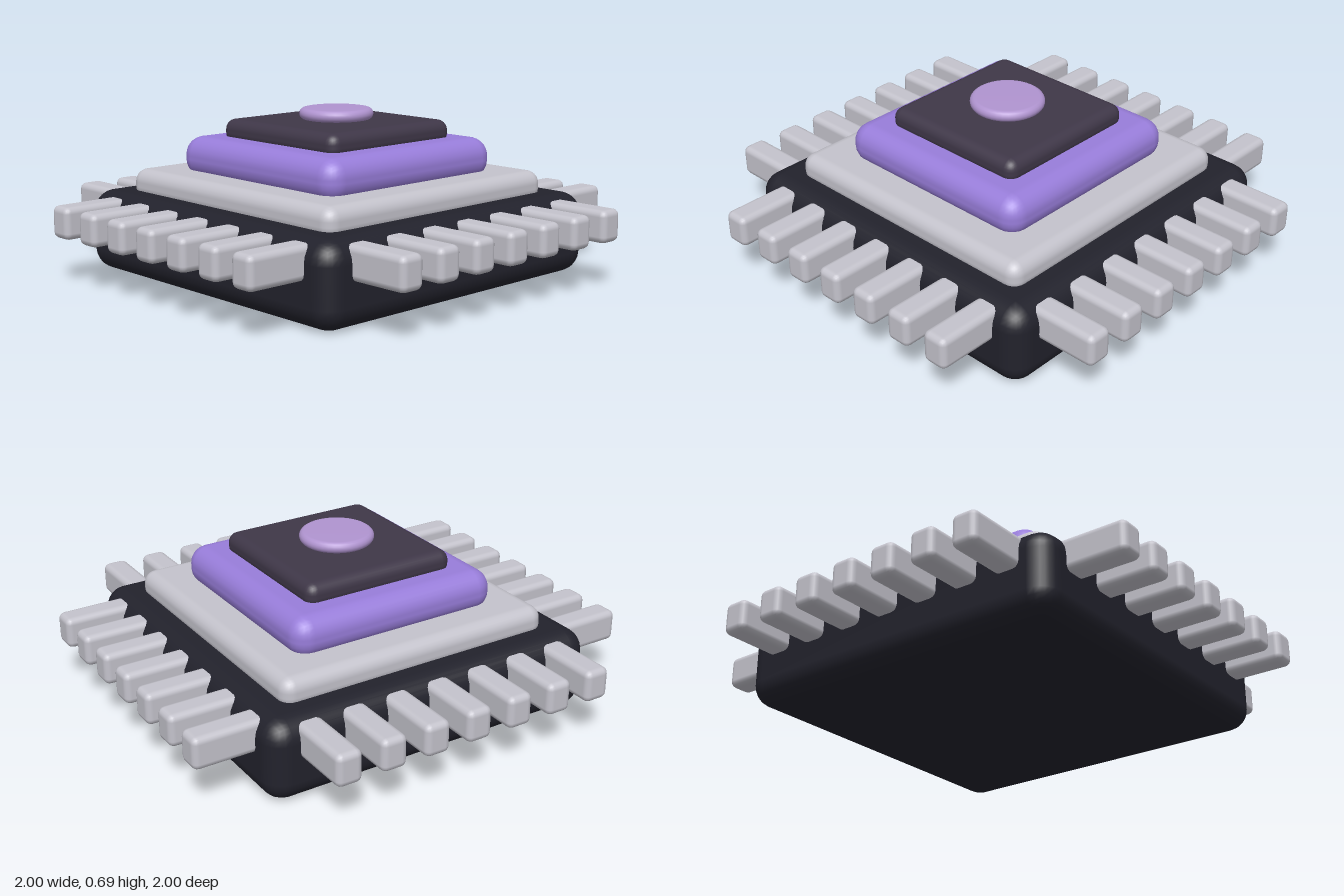
import * as THREE from 'three';
import { RoundedBoxGeometry } from 'three/addons/geometries/RoundedBoxGeometry.js';

function material(name, color) {
  const m = new THREE.MeshStandardMaterial({ color });
  m.name = name;
  return m;
}

export function createModel() {
  const model = new THREE.Group();
  model.name = 'microchip';

  const black = material('chip black', 0x22222c);
  const silver = material('silver', 0xc4c3cc);
  const purple = material('purple', 0x987dda);
  const charcoal = material('charcoal', 0x3f3748);
  const lilac = material('lilac', 0xb094d0);

  // Square rounded slab spanning y0..y1
  function slab(name, width, y0, y1, radius, mat) {
    const mesh = new THREE.Mesh(new RoundedBoxGeometry(width, y1 - y0, width, 3, radius), mat);
    mesh.position.y = (y0 + y1) / 2;
    mesh.name = name;
    model.add(mesh);
  }

  // Stacked layers
  slab('chipBody', 1.5, 0, 0.34, 0.09, black);
  slab('metalPlate', 1.23, 0.3, 0.43, 0.055, silver);
  slab('purpleLayer', 0.94, 0.395, 0.57, 0.08, purple);
  slab('coreBlock', 0.68, 0.54, 0.643, 0.045, charcoal);

  // Round button with a soft rim
  const rim = 0.024;
  const profile = [new THREE.Vector2(0, -rim)];
  for (let i = 0; i <= 8; i++) {
    const a = -Math.PI / 2 + (i / 8) * Math.PI;
    profile.push(new THREE.Vector2(0.131 + rim * Math.cos(a), rim * Math.sin(a)));
  }
  profile.push(new THREE.Vector2(0, rim));
  const button = new THREE.Mesh(new THREE.LatheGeometry(profile, 40), lilac);
  button.position.y = 0.668;
  button.name = 'button';
  model.add(button);

  // Seven pins on each of the four sides
  const pinGeometry = new RoundedBoxGeometry(0.11, 0.135, 0.32, 2, 0.027);
  for (let side = 0; side < 4; side++) {
    const row = new THREE.Group();
    row.name = 'pinRow' + (side + 1);
    row.rotation.y = side * Math.PI / 2;
    for (let i = -3; i <= 3; i++) {
      const pin = new THREE.Mesh(pinGeometry, silver);
      pin.position.set(i * 0.191, 0.253, 0.84);
      pin.name = 'pin';
      row.add(pin);
    }
    model.add(row);
  }

  return model;
}
